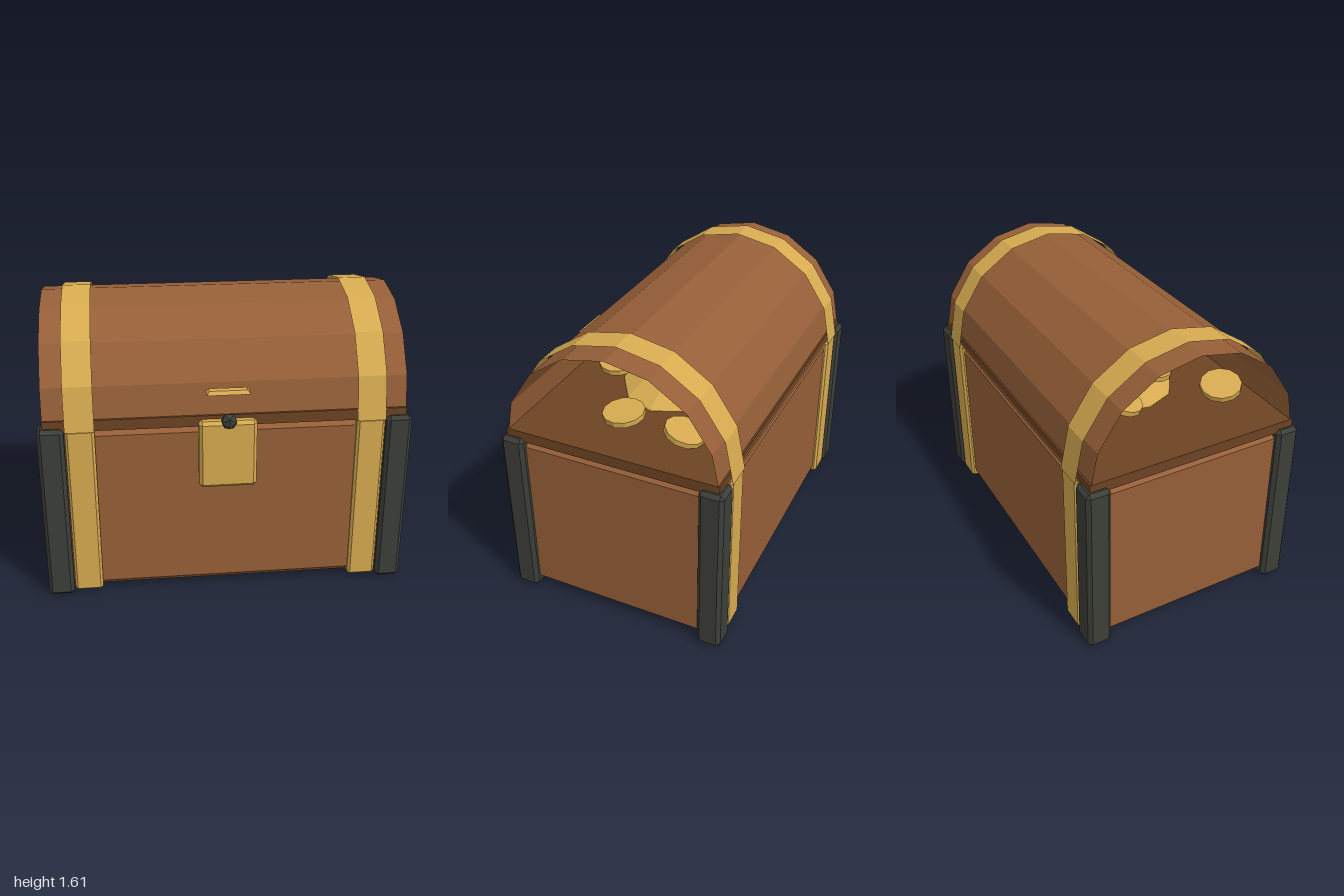
import * as THREE from 'three';
import { ConvexGeometry } from 'three/addons/geometries/ConvexGeometry.js';

const material = (name, color, side = THREE.FrontSide) => {
  const m = new THREE.MeshStandardMaterial({ color, flatShading: true, side });
  m.name = name;
  return m;
};

// Box with chamfered edges, given by its min and max corners
function chamferBox(min, max, c) {
  const points = [];
  for (let i = 0; i < 8; i++) {
    const pick = [0, 1, 2].map((k) => (i >> k) & 1);
    for (let full = 0; full < 3; full++) {
      const p = pick.map((hi, k) => {
        const inset = k === full ? 0 : c;
        return hi ? max[k] - inset : min[k] + inset;
      });
      points.push(new THREE.Vector3(...p));
    }
  }
  return new ConvexGeometry(points);
}

// Open half barrel along x
function halfBarrel(radius, width) {
  return new THREE.CylinderGeometry(radius, radius, width, 8, 1, true, 0, Math.PI).rotateZ(Math.PI / 2);
}

export function createModel() {
  const chest = new THREE.Group();
  chest.name = 'treasureChest';
  const wood = material('wood', 0x965f38, THREE.DoubleSide);
  const darkWood = material('darkWood', 0x6d4323);
  const gold = material('gold', 0xd6aa50, THREE.DoubleSide);
  const iron = material('iron', 0x3c3e38);
  const ruby = material('ruby', 0xd64d78);
  const midZ = -0.0425;

  const add = (name, geometry, mat, x = 0, y = 0, z = 0) => {
    const mesh = new THREE.Mesh(geometry, mat);
    mesh.name = name;
    mesh.position.set(x, y, z);
    chest.add(mesh);
    return mesh;
  };

  // Body, rim and arched lid
  add('body', chamferBox([-0.965, 0.02, -0.637], [0.965, 0.995, 0.552], 0.04), wood);
  add('rim', new THREE.BoxGeometry(1.94, 0.06, 1.2), darkWood, 0, 1.02, midZ + 0.0025);
  add('lid', halfBarrel(0.6, 1.94), wood, 0, 0.99, midZ);

  // Straps and corner posts, mirrored
  for (const side of [-1, 1]) {
    const sx = side * 0.7775;
    add('bodyStrap', chamferBox([sx - 0.0775, 0.015, -0.66], [sx + 0.0775, 1.0, 0.575], 0.014), gold);
    add('lidStrap', halfBarrel(0.62, 0.155), gold, sx, 0.99, midZ);
    const px = side * 0.93;
    for (const pz of [0.5225, -0.6025]) {
      add('cornerPost', chamferBox([px - 0.07, 0, pz - 0.0675], [px + 0.07, 1.01, pz + 0.0675], 0.02), iron);
    }
  }

  // Lock plate, knob and hasp
  add('lockPlate', chamferBox([-0.155, 0.645, 0.54], [0.155, 1.03, 0.61], 0.018), gold);
  add('lockKnob', new THREE.IcosahedronGeometry(0.047), iron, 0, 1.045, 0.632);
  const hasp = [];
  for (const sx of [-1, 1]) for (const sz of [-1, 1]) {
    hasp.push(new THREE.Vector3(sx * 0.115, 1.187, 0.583 + sz * 0.037));
    hasp.push(new THREE.Vector3(sx * 0.1, 1.205, 0.583 + sz * 0.02));
  }
  add('hasp', new ConvexGeometry(hasp), gold);

  // Mound of gold
  const mound = new THREE.SphereGeometry(1, 12, 8).scale(0.55, 0.15, 0.36);
  add('goldMound', mound, gold, 0, 1.0, midZ);

  // Loose coins: x, y, z, tilt about x, tilt about z
  const coinGeometry = new THREE.CylinderGeometry(0.112, 0.112, 0.03, 12);
  const coins = [
    [0.72, 1.15, 0.0, 0.06, -0.1],
    [0.67, 1.09, -0.32, -0.3, 0.05],
    [-0.66, 1.165, 0.31, -0.18, 0.2],
    [0.25, 1.14, 0.28, 0.03, -0.15],
    [0.1, 1.15, 0.17, -0.05, -0.1],
    [-0.3, 1.14, 0.1, 0.12, 0.1],
    [0.35, 1.13, -0.33, 0.35, -0.1],
    [0.05, 1.16, -0.34, 0.45, 0.08],
    [-0.25, 1.19, -0.32, 0.2, 0.1],
    [-0.5, 1.13, -0.2, 0.3, 0.2],
  ];
  for (const [x, y, z, rx, rz] of coins) {
    add('coin', coinGeometry, gold, x, y, z).rotation.set(rx, 0, rz);
  }

  // Gems
  add('rubyGem', new THREE.IcosahedronGeometry(0.141), ruby, 0.3, 1.2, -0.135);
  add('darkGem', new THREE.IcosahedronGeometry(0.095), iron, -0.15, 1.165, 0.06);

  return chest;
}
